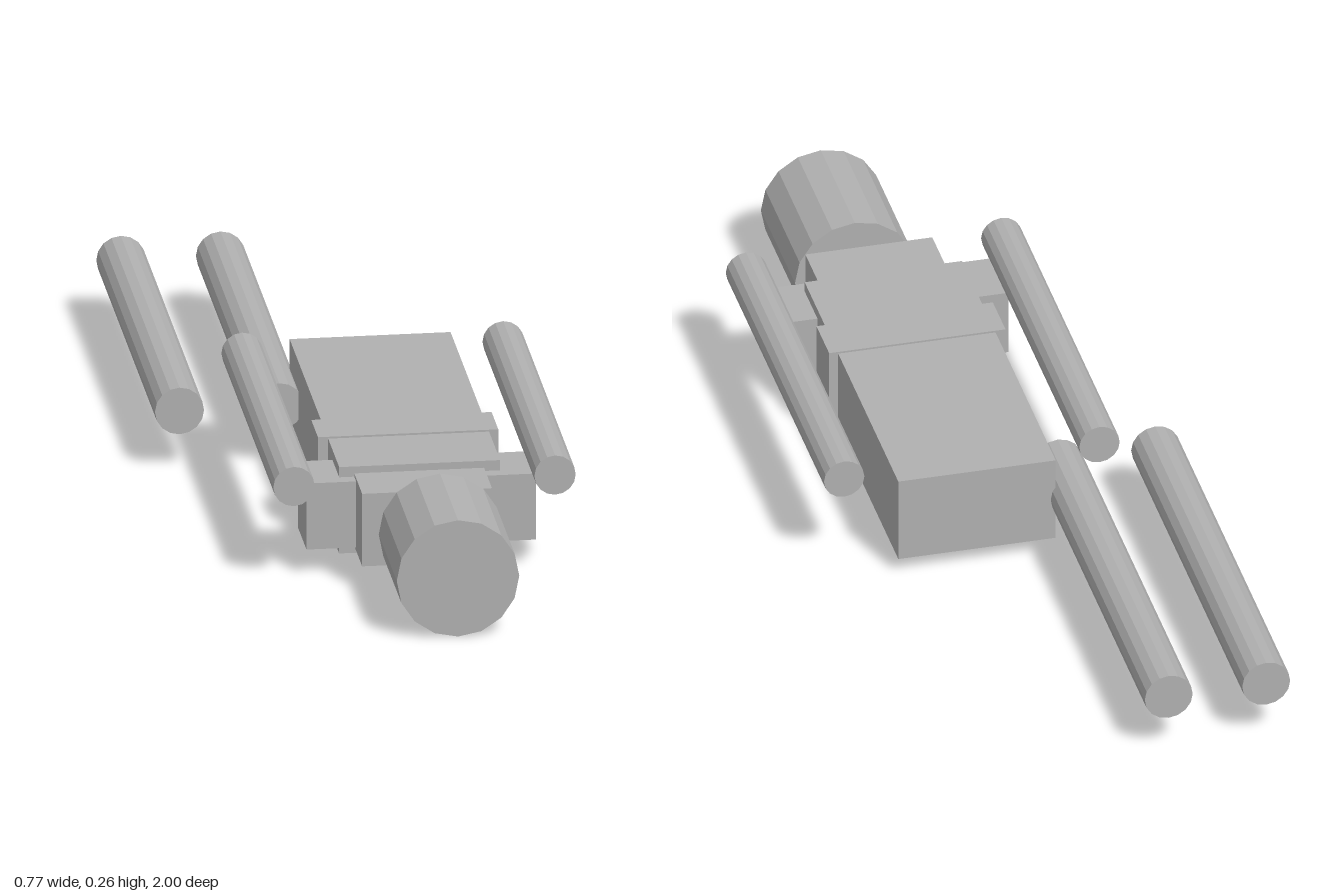
import * as THREE from 'three';

export function createModel() {
  const model = new THREE.Group();
  model.name = 'craft';
  const grey = new THREE.MeshStandardMaterial({ color: 0xb0b0b0, flatShading: true });
  grey.name = 'hull grey';

  // box given by its limits on each axis
  const box = (name, [x0, x1], [y0, y1], [z0, z1]) => {
    const m = new THREE.Mesh(new THREE.BoxGeometry(x1 - x0, y1 - y0, z1 - z0), grey);
    m.position.set((x0 + x1) / 2, (y0 + y1) / 2, (z0 + z1) / 2);
    m.name = name;
    model.add(m);
  };

  // cylinder lying along z
  const rod = (name, x, y, r, z0, z1) => {
    const g = new THREE.CylinderGeometry(r, r, z1 - z0, 16).rotateX(Math.PI / 2);
    const m = new THREE.Mesh(g, grey);
    m.position.set(x, y, (z0 + z1) / 2);
    m.name = name;
    model.add(m);
  };

  // hull blocks
  box('mainHull', [-0.091, 0.24], [0.035, 0.222], [-0.215, 0.567]);
  box('hullBand', [-0.112, 0.259], [0.03, 0.226], [0.287, 0.393]);
  box('crossBlock', [-0.162, 0.31], [0.057, 0.2], [0.46, 0.596]);
  box('neck', [-0.06, 0.207], [0.05, 0.207], [0.5, 0.692]);

  // nose drum
  rod('noseDrum', 0.097, 0.126, 0.126, 0.715, 1);

  // slim tubes beside the hull
  rod('rightSideTube', -0.195, 0.215, 0.0425, -0.168, 0.652);
  rod('leftSideTube', 0.342, 0.215, 0.0425, -0.168, 0.652);

  // long tubes reaching to the rear
  rod('outerRearTube', -0.336, 0.128, 0.0505, -1, -0.073);
  rod('innerRearTube', -0.131, 0.128, 0.0505, -1, -0.073);

  return model;
}
